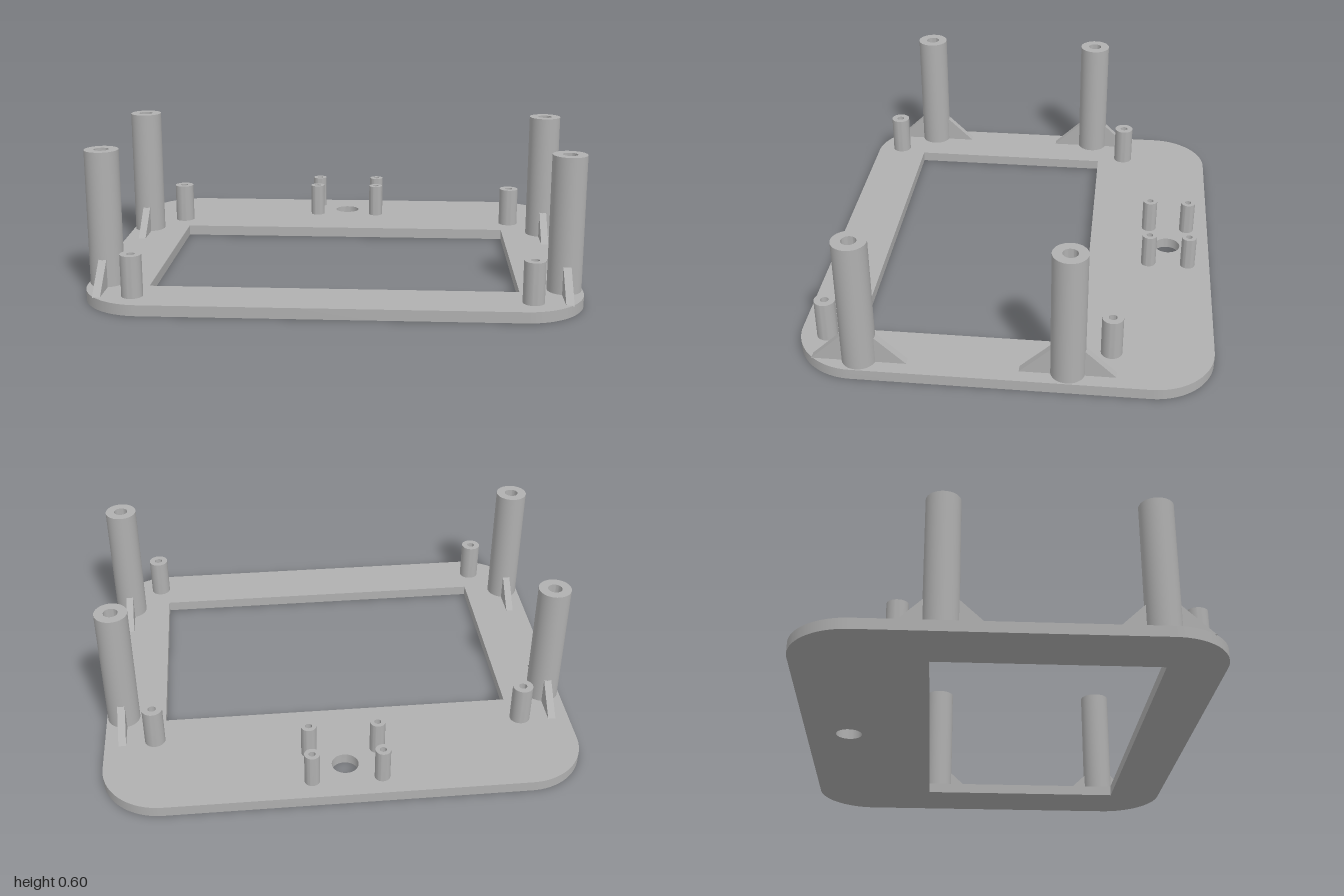
import * as THREE from 'three';
import { toCreasedNormals } from 'three/addons/utils/BufferGeometryUtils.js';

const PLATE = 0.045; // plate thickness

export function createModel() {
  const grey = new THREE.MeshStandardMaterial({ color: 0xb0b0b0 });
  grey.name = 'grey plastic';
  const model = new THREE.Group();
  model.name = 'mountingFrame';

  const add = (name, geometry, x = 0, y = 0, z = 0) => {
    const mesh = new THREE.Mesh(toCreasedNormals(geometry, 0.6), grey);
    mesh.name = name;
    mesh.position.set(x, y, z);
    model.add(mesh);
  };

  // Rounded plate with a window and a round cable hole (shape y is -z)
  const w = 1, d = 0.835, r = 0.25;
  const outline = new THREE.Shape();
  outline.absarc(w - r, d - r, r, 0, Math.PI / 2);
  outline.absarc(r - w, d - r, r, Math.PI / 2, Math.PI);
  outline.absarc(r - w, r - d, r, Math.PI, Math.PI * 1.5);
  outline.absarc(w - r, r - d, r, Math.PI * 1.5, Math.PI * 2);
  outline.closePath();
  const frameWindow = new THREE.Path();
  frameWindow.moveTo(-0.745, -0.6).lineTo(-0.745, 0.302).lineTo(0.745, 0.302).lineTo(0.745, -0.6).closePath();
  const cableHole = new THREE.Path();
  cableHole.absarc(0, 0.65, 0.056, 0, Math.PI * 2, true);
  outline.holes.push(frameWindow, cableHole);
  const plate = new THREE.ExtrudeGeometry(outline, { depth: PLATE, bevelEnabled: false, curveSegments: 20 });
  add('plate', plate.rotateX(-Math.PI / 2));

  // Hollow standoff, bored down to the plate
  const standoff = (radius, bore, top) => new THREE.LatheGeometry([
    [radius, PLATE - 0.005], [radius, top], [bore, top], [bore, PLATE + 0.002], [0, PLATE + 0.002],
  ].map(([x, y]) => new THREE.Vector2(x, y)), 40);

  // Triangular rib leaning on a tall post, running along +z
  const ribShape = new THREE.Shape();
  ribShape.moveTo(0.06, 0).lineTo(0.192, 0).lineTo(0.067, 0.118).lineTo(0.06, 0.118).closePath();
  const rib = new THREE.ExtrudeGeometry(ribShape, { depth: 0.032, bevelEnabled: false })
    .translate(0, 0, -0.016).rotateY(-Math.PI / 2);

  for (const side of [-1, 1]) {
    const label = side > 0 ? 'left' : 'right';
    // Tall posts with ribs in front and behind
    for (const z of [-0.262, 0.561]) {
      add(label + 'TallPost', standoff(0.069, 0.03, 0.6), side * 0.926, 0, z);
      add(label + 'FrontRib', rib.clone(), side * 0.926, PLATE - 0.002, z);
      add(label + 'BackRib', rib.clone().rotateY(Math.PI), side * 0.926, PLATE - 0.002, z);
    }
    // Medium standoffs around the window
    for (const z of [-0.427, 0.722])
      add(label + 'MediumStandoff', standoff(0.043, 0.017, 0.217), side * 0.788, 0, z);
    // Small standoffs around the cable hole
    for (const z of [-0.738, -0.566])
      add(label + 'SmallStandoff', standoff(0.032, 0.014, 0.19), side * 0.144, 0, z);
  }
  return model;
}
